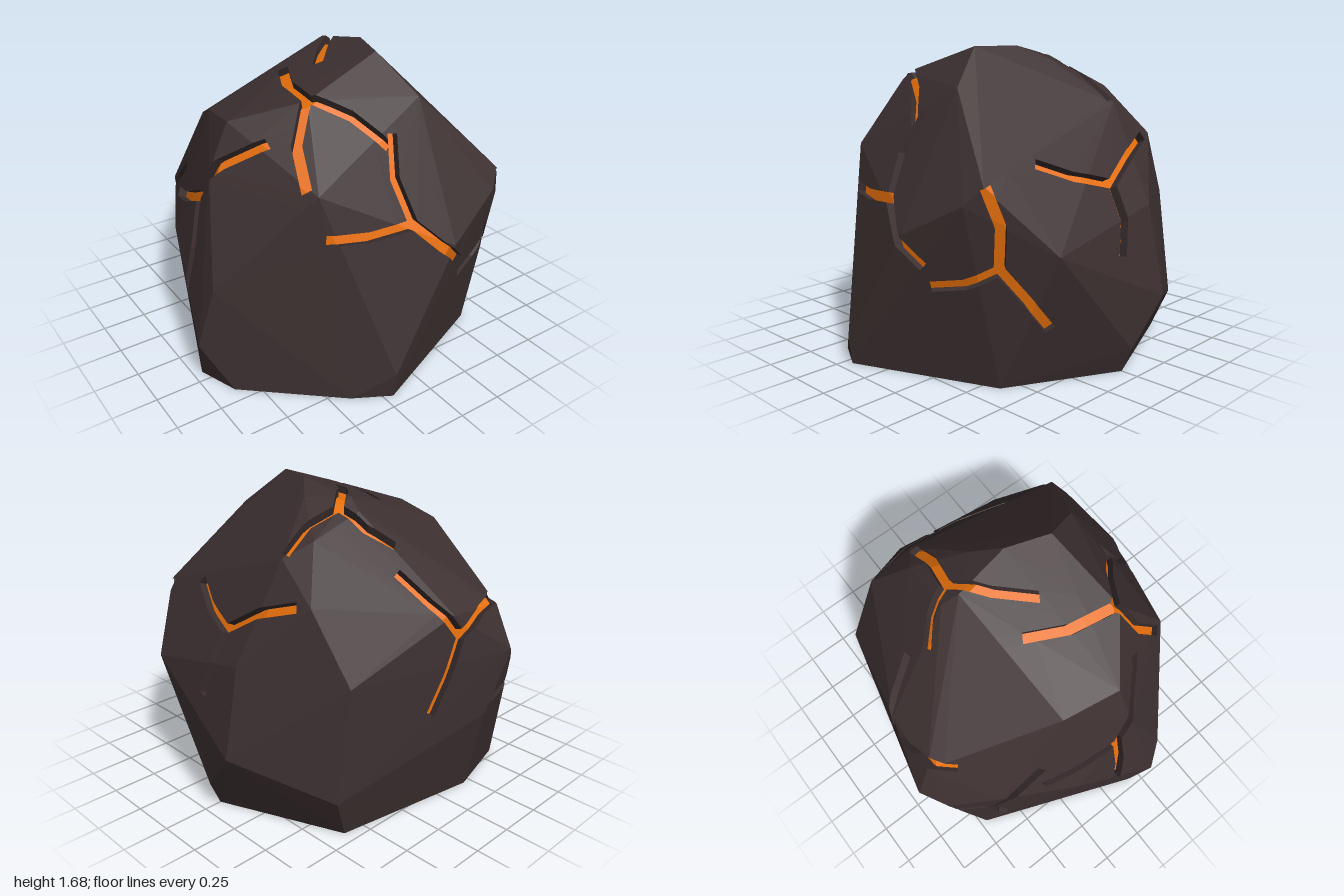
import * as THREE from 'three';
import { ConvexGeometry } from 'three/addons/geometries/ConvexGeometry.js';

const V = (a) => new THREE.Vector3(...a);
const HALF = 0.028; // half the width of a crack
const DEPTH = 0.05;

// Corners of the boulder, ring by ring
const BASE = [
  [0.62, -0.68], [0.9, 0], [0.59, 0.6], [-0.2, 0.93], [-0.4, 0.82], [-0.87, 0.41], [-0.95, 0.18],
  [-0.6, -0.71], [-0.2, -0.82],
].map(([x, z]) => [x, 0, z]);
const BELT = [
  [0.96, 0.14, 0], [1, 0.39, -0.21], [-0.2, 0.15, 0.95], [-1, 0.26, 0.28], [0.71, 0.23, -0.72],
  [0.89, 0.72, 0.5], [0.2, 0.78, 0.9], [0.54, 0.96, 0.8], [0.9, 0.87, -0.2], [0.62, 0.83, -0.72],
  [-0.2, 0.48, -0.925], [-0.36, 0.82, -0.96], [-0.5, 0.7, -0.87], [-0.66, 0.8, -0.63], [-0.86, 0.7, -0.22],
  [-0.92, 0.6, 0.33],
];
const CROWN = [
  [0.62, 1.05, 0.74], [0.67, 1.2, -0.5], [0, 1.08, -0.84], [-0.34, 1.06, -0.86], [-0.8, 1.17, 0.13],
  [-0.47, 1.14, 0.63], [-0.68, 1.41, 0.12], [-0.62, 1.36, -0.19], [-0.36, 1.53, 0.37], [0.11, 1.68, 0.3],
  [0.19, 1.68, 0.06], [0.22, 1.48, 0.53], [0.31, 1.61, -0.07], [0.15, 1.62, -0.25], [0.18, 1.56, -0.34],
  [0.49, 1.46, -0.33], [0.62, 1.38, -0.24],
];

// Each crack: sideways bends of its arms, centre, and three arm tips
const CRACKS = [
  [[0.045, 0.02, -0.01], [-0.01, 0.93, 0.82], [0, 1.36, 0.64], [-0.46, 0.92, 0.7], [0.28, 0.65, 0.92]],
  [[0.035, -0.05, 0.03], [-0.35, 1.53, 0.35], [-0.2, 1.53, -0.12], [-0.51, 1.17, 0.58], [-0.05, 1.34, 0.62]],
  [[-0.03, -0.03, -0.02], [0.25, 1.57, -0.26], [0.1, 1.42, -0.52], [0.59, 1.36, -0.23], [-0.08, 1.64, 0.05]],
  [[-0.04, 0.025, 0.01], [0.68, 0.64, 0.69], [0.62, 1.05, 0.73], [0.42, 0.51, 0.9], [0.78, 0.32, 0.44]],
  [[0.02, 0.02, 0.02], [0.82, 1, 0], [0.69, 1.15, 0.41], [0.69, 1.19, -0.42], [0.94, 0.65, 0.06]],
  [[0.02, 0.02, 0.02], [-0.84, 1.01, 0.04], [-0.63, 1.36, 0.32], [-0.77, 0.83, -0.39], [-0.96, 0.42, 0.02]],
  [[0.03, 0.02, 0.03], [-0.58, 0.57, -0.65], [-0.32, 0.57, -0.98], [-0.68, 0.98, -0.36], [-0.62, 0.18, -0.59]],
  [[0.01, 0.02, 0.01], [-0.03, 0.97, -0.88], [0.16, 1.27, -0.56], [-0.42, 1.08, -0.77], [0.16, 0.58, -0.85]],
];

const normalOf = (p) => p[1].clone().sub(p[0]).cross(p[2].clone().sub(p[0])).normalize();
const dir = (a, b) => b.clone().sub(a).normalize();

// A crack as convex cells, each a list of planes; wall planes get a groove side
function crackCells([bends, centre, ...tips]) {
  const d = normalOf(tips.map(V));
  if (d.dot(V(centre).sub(V([0, 0.6, 0]))) < 0) d.negate();
  const flat = (p) => V(p).addScaledVector(d, -V(p).dot(d));
  const c = flat(centre);
  const paths = tips.map(flat).map((tip, i) => {
    const side = d.clone().cross(dir(c, tip));
    return [c, c.clone().lerp(tip, 0.52).addScaledVector(side, bends[i]), tip];
  });
  const starts = paths.map((p) => dir(p[0], p[1]));
  const cells = [];
  paths.forEach((path, k) => {
    const ends = [starts[k], dir(path[1], path[2])];
    const mitre = ends[0].clone().add(ends[1]).normalize();
    ends.forEach((u, i) => {
      const a = path[i], planes = [];
      const add = (n, o, wall) => planes.push({ n, k: n.dot(o), wall });
      for (const sign of [1, -1]) {
        const side = d.clone().cross(u).multiplyScalar(sign);
        add(side, a.clone().addScaledVector(side, HALF), true);
      }
      if (i === 0) {
        starts.forEach((v, j) => { if (j !== k) add(v.clone().sub(u).normalize(), c, false); });
        add(mitre, path[1], false);
      } else {
        add(mitre.clone().negate(), a, false);
        add(u, path[2], true);
      }
      cells.push({ d, planes });
    });
  });
  return cells;
}

// Cut a polygon by a plane into its inner and outer parts
function split(poly, plane) {
  const inner = [], outer = [];
  poly.forEach((p, i) => {
    const q = poly[(i + 1) % poly.length];
    const s = plane.n.dot(p) - plane.k, t = plane.n.dot(q) - plane.k;
    if (s <= 1e-7) inner.push(p);
    if (s >= -1e-7) outer.push(p);
    if ((s < -1e-7 && t > 1e-7) || (s > 1e-7 && t < -1e-7)) {
      const m = p.clone().lerp(q, s / (s - t));
      inner.push(m);
      outer.push(m);
    }
  });
  return { inner, outer };
}

function polygonMesh(name, polys, material) {
  const pos = [];
  for (const p of polys) {
    for (let i = 1; i < p.length - 1; i++) {
      for (const v of [p[0], p[i], p[i + 1]]) pos.push(v.x, v.y, v.z);
    }
  }
  const geo = new THREE.BufferGeometry();
  geo.setAttribute('position', new THREE.Float32BufferAttribute(pos, 3));
  geo.computeVertexNormals();
  const mesh = new THREE.Mesh(geo, material);
  mesh.name = name;
  return mesh;
}

export function createModel() {
  const rock = new THREE.MeshStandardMaterial({ color: 0x3d3031 });
  rock.name = 'dark rock';
  const lava = new THREE.MeshStandardMaterial({ color: 0xf0740c });
  lava.name = 'molten orange';

  // Boulder facets
  const hull = new ConvexGeometry([...BASE, ...BELT, ...CROWN].map(V)).getAttribute('position');
  let facets = [];
  for (let i = 0; i < hull.count; i += 3) {
    const poly = [0, 1, 2].map((j) => new THREE.Vector3().fromBufferAttribute(hull, i + j));
    facets.push({ poly, n: normalOf(poly) });
  }

  // Carve the cracks: the cut-out pieces sink to become glowing floors
  const walls = [], floors = [];
  for (const { d, planes } of CRACKS.flatMap(crackCells)) {
    const sink = (p) => p.clone().addScaledVector(d, -DEPTH);
    const on = (pl, p) => Math.abs(pl.n.dot(p) - pl.k) < 1e-5;
    const kept = [];
    for (const facet of facets) {
      if (facet.n.dot(d) < 0.1) { kept.push(facet); continue; }
      let rest = facet.poly;
      const cut = [];
      for (const plane of planes) {
        const { inner, outer } = split(rest, plane);
        if (outer.length > 2) cut.push({ poly: outer, n: facet.n });
        rest = inner;
        if (rest.length < 3) break;
      }
      if (rest.length < 3) { kept.push(facet); continue; }
      kept.push(...cut);
      floors.push(rest.map(sink));
      rest.forEach((a, i) => {
        const b = rest[(i + 1) % rest.length];
        if (planes.some((pl) => pl.wall && on(pl, a) && on(pl, b))) walls.push([a, b, sink(b), sink(a)]);
      });
    }
    facets = kept;
  }

  const group = new THREE.Group();
  group.name = 'crackedBoulder';
  group.add(
    polygonMesh('boulder', facets.map((f) => f.poly), rock),
    polygonMesh('crackWalls', walls, rock),
    polygonMesh('crackFloors', floors, lava),
  );
  return group;
}
